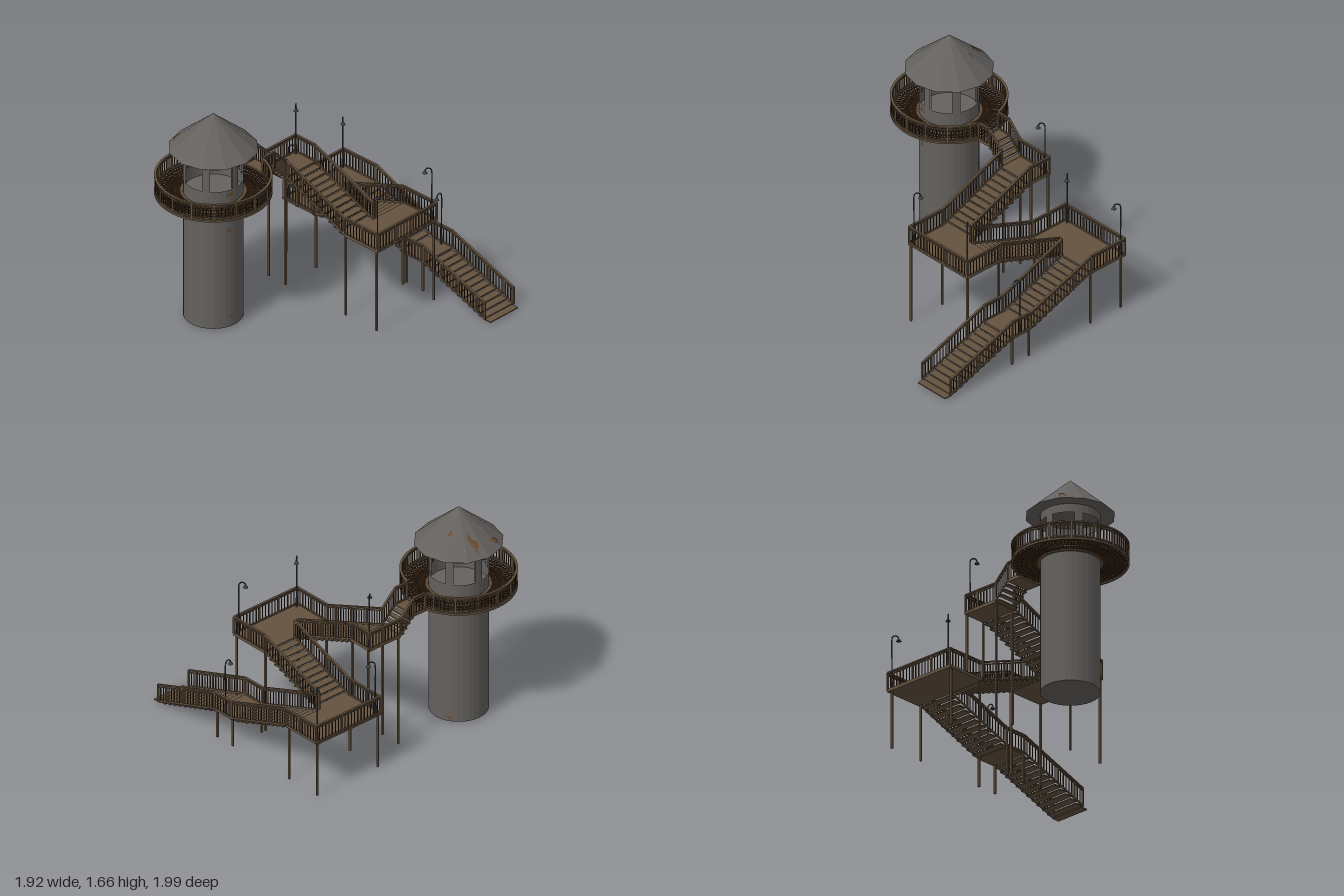
import * as THREE from 'three';
import { mergeGeometries } from 'three/addons/utils/BufferGeometryUtils.js';

const mat = (name, color, side = THREE.FrontSide) => {
  const m = new THREE.MeshStandardMaterial({ color, flatShading: true, side });
  m.name = name;
  return m;
};
const V = (x, y, z) => new THREE.Vector3(x, y, z);
const lerp = THREE.MathUtils.lerp;

export function createModel() {
  const steel = mat('weathered steel', 0x64615e, THREE.DoubleSide);
  const wood = mat('brown planks', 0x64523f);
  const dark = mat('dark balusters', 0x452e1b);
  const lampMetal = mat('lamp metal', 0x3c4248);
  const rust = mat('rust', 0x6a4a30, THREE.DoubleSide);
  const root = new THREE.Group();
  root.name = 'lookoutTower';
  const add = (name, geos, m, parent = root) => {
    const list = [].concat(geos).map((g) => (g.index ? g.toNonIndexed() : g));
    const mesh = new THREE.Mesh(list.length > 1 ? mergeGeometries(list) : list[0], m);
    mesh.name = name;
    parent.add(mesh);
    return mesh;
  };
  const box = (w, h, d, x, y, z) => new THREE.BoxGeometry(w, h, d).translate(x, y, z);
  // square bar running from a to b
  const beam = (a, b, w, h = w) => {
    const g = new THREE.BoxGeometry(w, h, a.distanceTo(b));
    g.applyMatrix4(new THREE.Matrix4().lookAt(a, b, V(0, 1, 0)));
    const c = a.clone().lerp(b, 0.5);
    return g.translate(c.x, c.y, c.z);
  };

  // ---------- round tower ----------
  const tower = new THREE.Group();
  tower.name = 'tower';
  tower.position.set(-0.54, 0, 0.575);
  root.add(tower);
  const R = 0.215, SIDES = 32;
  const tube = (r, y0, y1, open, start = 0, len = Math.PI * 2, n = SIDES) =>
    new THREE.CylinderGeometry(r, r, y1 - y0, n, 1, open, start, len).translate(0, (y0 + y1) / 2, 0);
  add('shaft', tube(R, 0.01, 1.03, false), steel, tower);
  add('cabinParapet', tube(R, 1.03, 1.14, true), steel, tower);
  add('cabinLintel', tube(R, 1.32, 1.385, true), steel, tower);
  const pillars = [];
  for (let i = 0; i < 6; i++) {
    const a = Math.PI / 2 + (i * Math.PI) / 3;
    pillars.push(tube(R, 1.14, 1.32, true, a - 0.14, 0.28, 2), tube(R - 0.012, 1.14, 1.32, true, a - 0.14, 0.28, 2));
  }
  add('cabinPillars', pillars, steel, tower);
  const ROOF = { r: 0.322, y: 1.385, h: 0.28, n: 12 };
  add('roof', new THREE.ConeGeometry(ROOF.r, ROOF.h, ROOF.n).translate(0, ROOF.y + ROOF.h / 2, 0), steel, tower);

  // ragged rust patches laid on the wall and the roof
  const patch = (name, place, su, sv, seed) => {
    const pts = [];
    for (let i = 0; i < 9; i++) {
      const a = (i / 9) * Math.PI * 2, k = 0.75 + 0.35 * Math.sin(seed + i * 2.4);
      pts.push(new THREE.Vector2(Math.cos(a) * su * k, Math.sin(a) * sv * k));
    }
    const g = new THREE.ShapeGeometry(new THREE.Shape(pts));
    const p = g.attributes.position;
    for (let i = 0; i < p.count; i++) p.setXYZ(i, ...place(p.getX(i), p.getY(i)));
    add(name, g, rust, tower);
  };
  const onWall = (a0, y0) => (u, v) => {
    const a = a0 + u / R;
    return [Math.cos(a) * (R + 0.003), y0 + v, Math.sin(a) * (R + 0.003)];
  };
  const onRoof = (x0, z0) => (u, v) => {
    const x = x0 + u, z = z0 + v, seg = (Math.PI * 2) / ROOF.n;
    const a = Math.atan2(x, z) + Math.PI * 2;
    const flat = Math.hypot(x, z) * Math.cos((a % seg) - seg / 2) / Math.cos(seg / 2);
    return [x, ROOF.y + ROOF.h * (1 - flat / ROOF.r) + 0.006, z];
  };
  [[0.26, 0.81, 0.028, 0.025], [0.16, 0.1, 0.03, 0.016], [-0.51, 0.028, 0.028, 0.016], [-2.1, 0.04, 0.025, 0.018],
    [0.2, 1.1, 0.035, 0.025]].forEach(([a, y, w, h], i) => patch('wallRust', onWall(a, y), w, h, i * 1.7));
  [[-0.22, -0.05, 0.065, 0.035], [-0.23, 0.135, 0.03, 0.04], [-0.07, -0.145, 0.022, 0.022]]
    .forEach(([x, z, w, h], i) => patch('roofRust', onRoof(x, z), w, h, 2 + i * 1.3));

  // ---------- ring balcony ----------
  const ring = (r, w, y0, y1, gap) => new THREE.LatheGeometry(
    [[r - w, y0], [r + w, y0], [r + w, y1], [r - w, y1], [r - w, y0]].map((p) => new THREE.Vector2(...p)),
    64, Math.PI + gap, Math.PI * 2 - gap * 2);
  const GAP = 0.245;
  add('balconyRims', [ring(0.412, 0.007, 1.015, 1.03, 0), ring(0.225, 0.01, 1.015, 1.03, 0)], wood, tower);
  add('balconyGratingRings', [0.27, 0.315, 0.345, 0.378].map((r) => ring(r, 0.003, 1.018, 1.028, 0)), dark, tower);
  const slats = [], bars = [], mains = [];
  for (let i = 0; i < 96; i++) {
    const a = (i / 96) * Math.PI * 2;
    slats.push(box(0.008, 0.008, 0.195, 0, 1.026, 0.312).rotateY(a));
    if (Math.abs(a - Math.PI) < GAP) continue;
    if (i % 6 === 0) mains.push(box(0.013, 0.14, 0.013, 0, 1.09, 0.41).rotateY(a));
    else bars.push(box(0.006, 0.11, 0.006, 0, 1.095, 0.41).rotateY(a));
  }
  add('balconySlats', slats, dark, tower);
  add('balconyBalusters', bars, dark, tower);
  add('balconyPosts', mains, wood, tower);
  add('balconyRails', [ring(0.41, 0.009, 1.15, 1.16, GAP), ring(0.41, 0.004, 1.13, 1.138, GAP),
    ring(0.41, 0.005, 1.038, 1.048, GAP)], wood, tower);

  // ---------- landings: x0, x1, z0, z1, top ----------
  const landings = {
    bridge: [-0.64, -0.44, 0.06, 0.18, 1.02],
    upperLanding: [-0.64, -0.44, -0.36, -0.06, 0.9],
    middleLanding: [0.13, 0.46, -0.67, -0.06, 0.665],
    lowerLanding: [-0.78, -0.45, -0.985, -0.37, 0.45],
    restLanding: [0.13, 0.31, -0.975, -0.69, 0.235],
  };
  for (const [name, [x0, x1, z0, z1, y]] of Object.entries(landings))
    add(name, box(x1 - x0, 0.014, z1 - z0, (x0 + x1) / 2, y - 0.007, (z0 + z1) / 2), wood);

  // ---------- stair flights with open treads ----------
  const flight = (name, a, b, width, n) => {
    const treads = [], alongX = Math.abs(b.x - a.x) > 0.001;
    const run = (Math.abs(b.x - a.x) + Math.abs(b.z - a.z)) / n + 0.008;
    for (let i = 0; i < n; i++) {
      const p = a.clone().lerp(b, (i + 0.5) / n);
      const y = Math.max(p.y - 0.015, 0.014);
      treads.push(box(alongX ? run : width, 0.008, alongX ? width : run, p.x, y, p.z));
    }
    add(name, treads, wood);
  };
  flight('bridgeSteps', V(-0.54, 1.02, 0.06), V(-0.54, 0.9, -0.06), 0.19, 4);
  flight('upperFlight', V(-0.44, 0.9, -0.21), V(0.13, 0.665, -0.21), 0.29, 11);
  flight('middleFlight', V(0.13, 0.665, -0.52), V(-0.45, 0.45, -0.52), 0.29, 11);
  flight('lowerFlight', V(-0.45, 0.45, -0.83), V(0.13, 0.235, -0.83), 0.28, 11);
  flight('bottomFlight', V(0.31, 0.235, -0.83), V(0.955, 0.012, -0.83), 0.28, 12);

  // ---------- railings following the deck edges ----------
  const railing = (name, pts) => {
    const rails = [], balusters = [];
    const up = (p, h) => V(p.x, p.y + h, p.z);
    pts.forEach((c, k) => {
      const a = V(...c);
      rails.push(box(0.013, 0.14, 0.013, a.x, a.y + 0.068, a.z));
      if (k === pts.length - 1) return;
      const b = V(...pts[k + 1]), n = Math.max(2, Math.round(a.distanceTo(b) / 0.03));
      rails.push(beam(up(a, 0.138), up(b, 0.138), 0.016, 0.01), beam(up(a, 0.12), up(b, 0.12), 0.008),
        beam(up(a, 0.004), up(b, 0.004), 0.011, 0.013));
      for (let i = 1; i < n; i++) {
        const p = a.clone().lerp(b, i / n);
        if (i % 6 === 0 && n - i > 2) rails.push(box(0.012, 0.14, 0.012, p.x, p.y + 0.068, p.z));
        else balusters.push(box(0.006, 0.12, 0.006, p.x, p.y + 0.063, p.z));
      }
    });
    const g = new THREE.Group();
    g.name = name;
    root.add(g);
    add('railsAndPosts', rails, wood, g);
    add('balusters', balusters, dark, g);
  };
  railing('upperInnerRailing', [[-0.635, 1.02, 0.17], [-0.635, 1.02, 0.06], [-0.635, 0.9, -0.06], [-0.635, 0.9, -0.355],
    [-0.44, 0.9, -0.355], [0.13, 0.665, -0.355]]);
  railing('upperOuterRailing', [[-0.445, 1.02, 0.17], [-0.445, 1.02, 0.06], [-0.445, 0.9, -0.065], [0.13, 0.665, -0.065],
    [0.453, 0.665, -0.065], [0.453, 0.665, -0.665], [0.13, 0.665, -0.665], [-0.445, 0.45, -0.665]]);
  railing('lowerOuterRailing', [[0.13, 0.665, -0.378], [-0.445, 0.45, -0.378], [-0.772, 0.45, -0.378],
    [-0.772, 0.45, -0.985], [-0.445, 0.45, -0.985], [0.13, 0.235, -0.975], [0.31, 0.235, -0.975], [0.91, 0.022, -0.975]]);
  railing('lowerInnerRailing', [[-0.445, 0.45, -0.685], [0.13, 0.235, -0.685], [0.31, 0.235, -0.685], [0.91, 0.022, -0.685]]);

  // ---------- support posts: x, z, top, bottom ----------
  const posts = [
    [-0.62, -0.07, 0.9], [-0.455, -0.07, 0.9], [-0.62, -0.355, 0.9, 0.45], [-0.455, -0.355, 0.9, 0.45],
    [0.137, -0.07, 0.66], [0.44, -0.07, 0.66], [0.137, -0.65, 0.66], [0.44, -0.65, 0.66],
    [-0.755, -0.385, 0.45], [-0.46, -0.385, 0.45], [-0.755, -0.96, 0.45], [-0.46, -0.96, 0.45],
    [0.137, -0.685, 0.23], [0.3, -0.685, 0.23], [0.137, -0.96, 0.23], [0.3, -0.96, 0.23],
  ];
  add('supportPosts', posts.map(([x, z, top, low = 0]) => box(0.014, top - low, 0.014, x, (top + low) / 2, z)), wood);

  // ---------- hooked lamps: position and heading of the hook ----------
  const lamp = (x, y, z, dx, dz) => {
    const path = [V(0, 0, 0), V(0, 0.2, 0), V(0, 0.4, 0)];
    for (let i = 1; i <= 6; i++) {
      const a = Math.PI * (1 - i / 6);
      path.push(V(0.024 + 0.024 * Math.cos(a), 0.4 + 0.026 * Math.sin(a), 0));
    }
    const g = [
      new THREE.TubeGeometry(new THREE.CatmullRomCurve3(path), 36, 0.005, 6),
      new THREE.CylinderGeometry(0.008, 0.009, 0.07, 8).translate(0, 0.035, 0),
      new THREE.CylinderGeometry(0.006, 0.019, 0.02, 10).translate(0.048, 0.393, 0),
      new THREE.SphereGeometry(0.009, 8, 6).translate(0.048, 0.382, 0),
    ];
    const m = add('lamp', g, lampMetal);
    m.position.set(x, y, z);
    m.rotation.y = Math.atan2(-dz, dx);
  };
  lamp(-0.61, 0.9, -0.335, 1, 1);
  lamp(0.43, 0.665, -0.09, -1, -1);
  lamp(0.43, 0.665, -0.64, -1, 1);
  lamp(-0.755, 0.45, -0.41, 1, -1);
  lamp(-0.755, 0.45, -0.96, 1, 1);
  lamp(0.22, 0.235, -0.955, 0, 1);
  return root;
}
